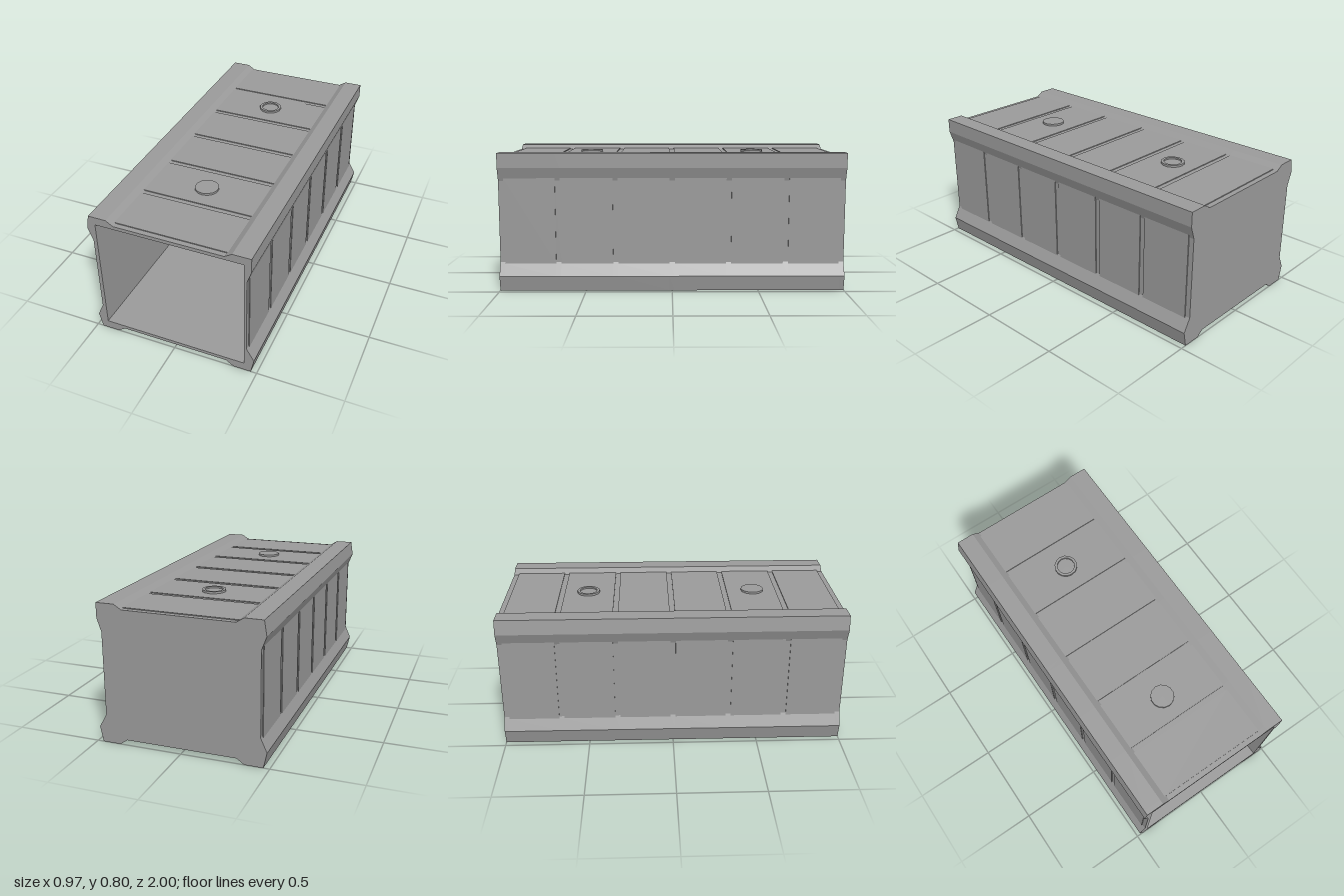
import * as THREE from 'three';

const GROOVE = 0.005;

// Outline of the container, clockwise seen from the front.
// d sinks the four panels, the slopes of the corner rails running on down to them.
function profile(d) {
  return [
    [-0.465, 0.8], [-0.36, 0.8], [-0.325, 0.778],
    [-0.325 + 1.6 * d, 0.778 - d], [0.325 - 1.6 * d, 0.778 - d],
    [0.325, 0.778], [0.36, 0.8], [0.465, 0.8], [0.465, 0.715], [0.445, 0.655],
    [0.445 - d, 0.655 - 3 * d], [0.445 - d, 0.155 + 1.76 * d],
    [0.445, 0.155], [0.483, 0.088], [0.465, 0], [0.36, 0], [0.325, 0.025],
    [0.325 - 1.4 * d, 0.025 + d], [-0.325 + 1.4 * d, 0.025 + d],
    [-0.325, 0.025], [-0.36, 0], [-0.465, 0], [-0.485, 0.088], [-0.455, 0.155],
    [-0.455 + d, 0.155 + 2.2 * d], [-0.455 + d, 0.655 - 2.6 * d],
    [-0.455, 0.655], [-0.478, 0.715],
  ];
}

// Skin between successive cross-sections { pts, z }, leaving out empty faces
function loft(sections) {
  const pos = [];
  const same = (p, q) => p.every((v, i) => Math.abs(v - q[i]) < 1e-6);
  const tri = (a, b, c) => {
    if (!same(a, b) && !same(b, c) && !same(a, c)) pos.push(...a, ...b, ...c);
  };
  for (let s = 0; s < sections.length - 1; s++) {
    const p = sections[s], q = sections[s + 1], n = p.pts.length;
    for (let i = 0; i < n; i++) {
      const j = (i + 1) % n;
      const a = [...p.pts[i], p.z], b = [...p.pts[j], p.z];
      const c = [...q.pts[i], q.z], d = [...q.pts[j], q.z];
      tri(a, b, d);
      tri(a, d, c);
    }
  }
  const geo = new THREE.BufferGeometry();
  geo.setAttribute('position', new THREE.Float32BufferAttribute(pos, 3));
  geo.computeVertexNormals();
  return geo;
}

const toVectors = (pts) => pts.map(([x, y]) => new THREE.Vector2(x, y));

export function createModel() {
  const model = new THREE.Group();
  const paint = new THREE.MeshStandardMaterial({ color: 0x9a9a9a, flatShading: true });
  const add = (name, geo) => {
    const mesh = new THREE.Mesh(geo, paint);
    mesh.name = name;
    model.add(mesh);
    return mesh;
  };

  // Outer shell with seven grooves, the first and last open at the ends
  const sunk = profile(GROOVE), full = profile(0);
  const sections = [];
  for (const z of [0.985, 0.66, 0.328, 0, -0.328, -0.66, -0.985]) {
    const front = z + 0.015, back = z - 0.015;
    if (front < 0.99) sections.push({ pts: full, z: front });
    sections.push({ pts: sunk, z: front }, { pts: sunk, z: back });
    if (back > -0.99) sections.push({ pts: full, z: back });
  }
  add('outerShell', loft(sections));

  // Tapered cavity
  const mouth = [[-0.428, 0.05], [0.425, 0.05], [0.425, 0.752], [-0.428, 0.752]];
  const inner = [[-0.38, 0.083], [0.362, 0.083], [0.362, 0.69], [-0.38, 0.69]];
  const depth = -0.95;
  add('cavityWalls', loft([{ pts: mouth, z: 1 }, { pts: inner, z: depth }]));
  add('cavityBack', new THREE.ShapeGeometry(new THREE.Shape(toVectors(inner)))).position.z = depth;

  // Front rim around the mouth
  const rim = new THREE.Shape(toVectors(sunk));
  rim.holes.push(new THREE.Path(toVectors(mouth)));
  add('frontRim', new THREE.ShapeGeometry(rim)).position.z = 1;

  // Closed back
  const mirrored = new THREE.Shape(toVectors(sunk.map(([x, y]) => [-x, y])));
  const back = add('backWall', new THREE.ShapeGeometry(mirrored));
  back.rotation.y = Math.PI;
  back.position.z = -1;

  // Roof caps: plain at the front, dished at the rear
  const caps = [
    ['frontCap', 0.5, [[0.068, 0], [0.068, 0.02], [0, 0.02]]],
    ['rearCap', -0.5, [[0.068, 0], [0.068, 0.02], [0.052, 0.02], [0.052, 0.011], [0, 0.011]]],
  ];
  for (const [name, z, pts] of caps) {
    const geo = new THREE.LatheGeometry(toVectors(pts), 14);
    add(name, geo).position.set(-0.004, 0.77, z);
  }

  return model;
}
